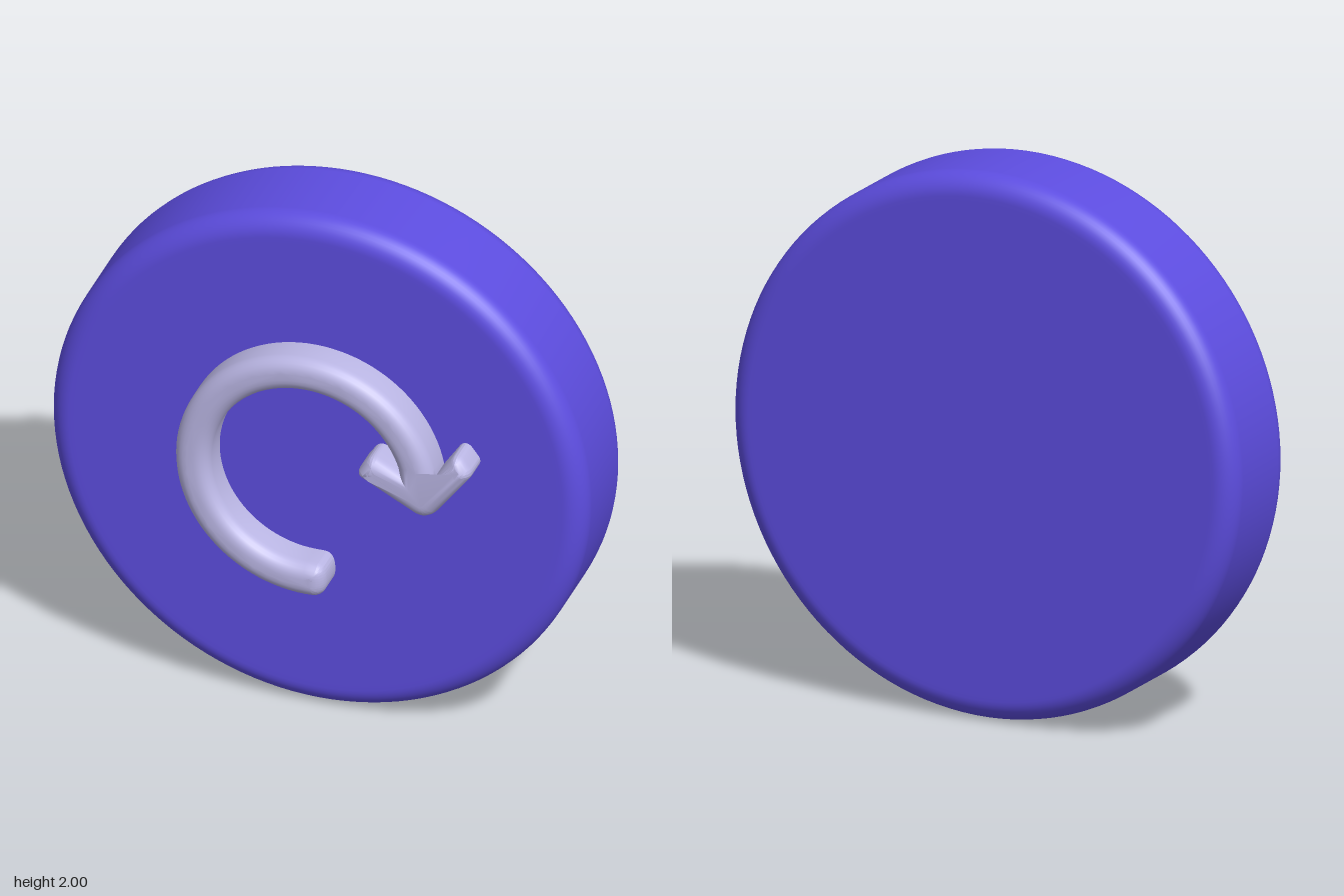
import * as THREE from 'three';
import { mergeVertices, toCreasedNormals } from 'three/addons/utils/BufferGeometryUtils.js';

const DISC_BACK = -0.28, DISC_FRONT = 0.145;

// Round slab with softened rims, lathed about y then turned to face +z
function discGeometry() {
  const r = 0.08, profile = [new THREE.Vector2(0, DISC_BACK), new THREE.Vector2(0.9, DISC_BACK)];
  const corner = (y, start) => {
    for (let i = 0; i <= 10; i++) {
      const a = start + (i / 10) * Math.PI / 2;
      profile.push(new THREE.Vector2(1 - r + r * Math.cos(a), y + r * Math.sin(a)));
    }
  };
  corner(DISC_BACK + r, -Math.PI / 2);
  corner(DISC_FRONT - r, 0);
  profile.push(new THREE.Vector2(0.9, DISC_FRONT), new THREE.Vector2(0, DISC_FRONT));
  return new THREE.LatheGeometry(profile, 128).rotateX(Math.PI / 2);
}

// Outline of the curved arrow, centred on the disc
function arrowShape() {
  const inner = 0.358, outer = 0.488, s = new THREE.Shape();
  s.moveTo(0, -outer);
  // rounded tail
  s.lineTo(0.035, -outer + 0.002);
  s.quadraticCurveTo(0.073, -0.475, 0.073, -0.425);
  s.quadraticCurveTo(0.073, -0.36, 0.035, -inner);
  s.lineTo(0, -inner);
  s.absarc(0, 0, inner, -Math.PI / 2, 0.26 - 2 * Math.PI, true);
  // inner barb
  s.lineTo(0.265, 0.127);
  s.quadraticCurveTo(0.24, 0.138, 0.222, 0.112);
  s.lineTo(0.198, 0.078);
  s.quadraticCurveTo(0.183, 0.052, 0.21, 0.038);
  // tip
  s.lineTo(0.395, -0.06);
  s.quadraticCurveTo(0.445, -0.088, 0.485, -0.045);
  // outer barb
  s.lineTo(0.605, 0.113);
  s.quadraticCurveTo(0.622, 0.135, 0.603, 0.158);
  s.lineTo(0.58, 0.188);
  s.quadraticCurveTo(0.556, 0.208, 0.537, 0.182);
  s.lineTo(0.475, 0.09);
  s.absarc(0, 0, outer, 0.19, 1.5 * Math.PI, false);
  return s;
}

function arrowGeometry() {
  const bevel = 0.052;
  const geo = new THREE.ExtrudeGeometry(arrowShape(), {
    depth: 0.13, curveSegments: 36, bevelEnabled: true,
    bevelThickness: bevel, bevelSize: bevel, bevelOffset: -bevel, bevelSegments: 6,
  });
  geo.translate(0, 0, 0.28 - 0.13 - bevel);
  geo.deleteAttribute('normal');
  geo.deleteAttribute('uv');
  return toCreasedNormals(mergeVertices(geo, 1e-5), 0.75);
}

export function createModel() {
  const model = new THREE.Group();
  model.name = 'arrowButton';

  const disc = new THREE.Mesh(discGeometry(), new THREE.MeshStandardMaterial({ color: 0x5d4de0 }));
  disc.name = 'disc';
  disc.position.y = 1;

  const arrow = new THREE.Mesh(arrowGeometry(), new THREE.MeshStandardMaterial({ color: 0xbab6e4 }));
  arrow.name = 'curvedArrow';
  arrow.position.y = 1.008;

  model.add(disc, arrow);
  return model;
}
